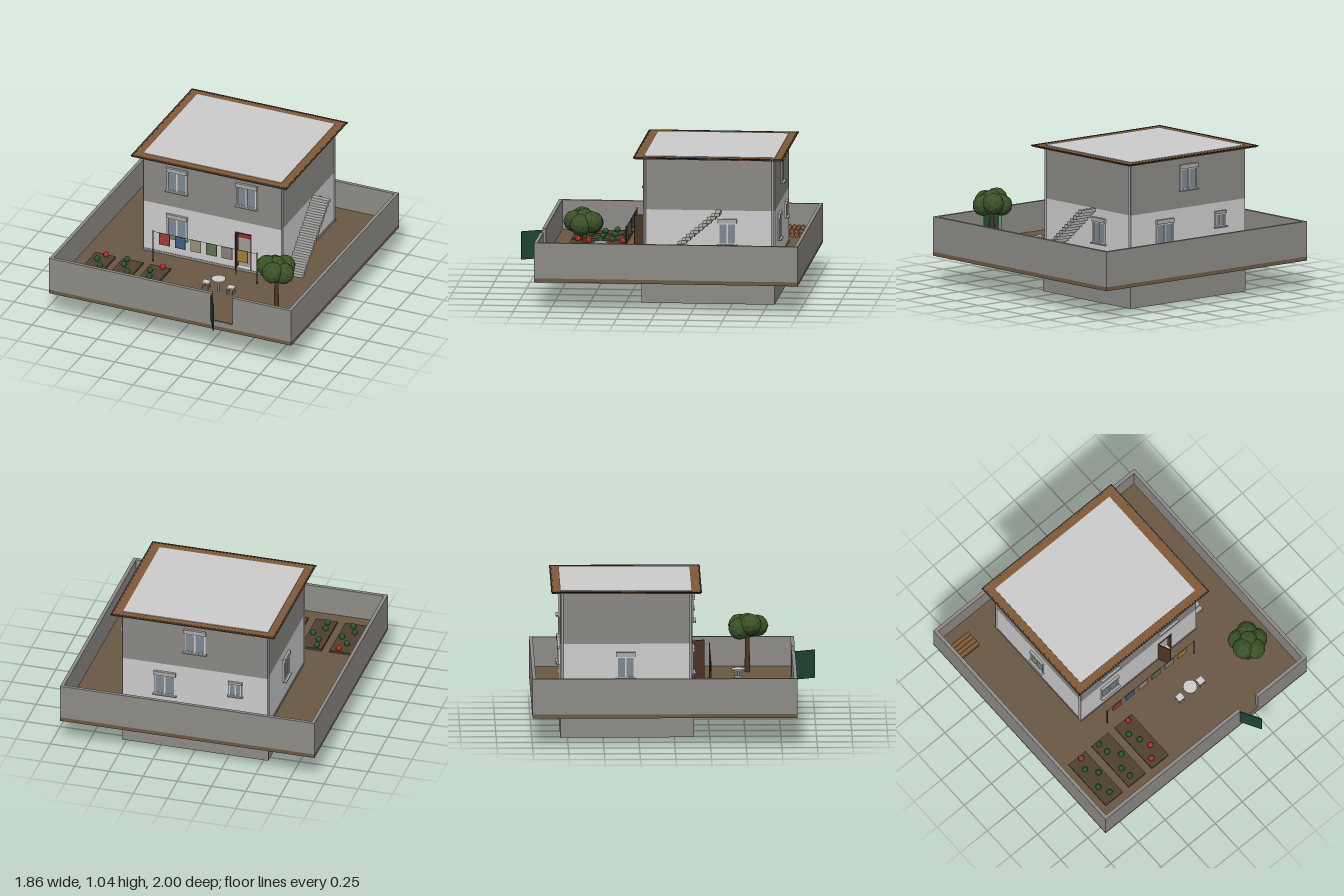
import * as THREE from 'three';

const mat = (color, extra = {}) => new THREE.MeshStandardMaterial({ color, ...extra });
const M = {
  wall: mat(0x8d8b86), light: mat(0xcccccc), upper: mat(0x8a8883), soil: mat(0x6b5845),
  bed: mat(0x4f4030), wood: mat(0x805a38), darkWood: mat(0x4d3426), gutter: mat(0x35383d, { side: THREE.DoubleSide }),
  gate: mat(0x1d4633), glass: mat(0x7c8891), trim: mat(0xa9a9a6), metal: mat(0x303030),
  leaf: mat(0x3a5228, { flatShading: true }), plant: mat(0x23582b), fruit: mat(0xb02a26),
};

const GROUND = 0.27;

export function createModel() {
  const root = new THREE.Group();

  const add = (name, geo, material, x = 0, y = 0, z = 0, parent = root) => {
    const mesh = new THREE.Mesh(geo, material);
    mesh.name = name;
    mesh.position.set(x, y, z);
    parent.add(mesh);
    return mesh;
  };
  // Box given by its limits on each axis
  const box = (name, material, x0, x1, y0, y1, z0, z1, parent = root) =>
    add(name, new THREE.BoxGeometry(x1 - x0, y1 - y0, z1 - z0), material,
      (x0 + x1) / 2, (y0 + y1) / 2, (z0 + z1) / 2, parent);
  const group = (name, x = 0, y = 0, z = 0, ry = 0) => {
    const g = new THREE.Group();
    g.name = name;
    g.position.set(x, y, z);
    g.rotation.y = ry;
    root.add(g);
    return g;
  };

  // Plot of ground and basement
  box('basement', M.wall, -0.535, 0.535, 0, 0.2, -0.8, 0.14);
  box('groundBase', M.soil, -0.93, 0.93, 0.2, 0.228, -1, 0.86);
  box('ground', M.soil, -0.91, 0.91, 0.228, GROUND, -0.98, 0.84);
  box('gateThreshold', M.soil, 0.32, 0.48, 0.262, 0.272, 0.83, 0.859);

  // Boundary walls, with an opening for the gate
  const T = 0.025;
  for (const s of [-1, 1]) {
    const x = s * (0.93 - T / 2);
    box('sideBoundaryWall', M.wall, x - T / 2, x + T / 2, 0.228, 0.48, -1, 0.86);
  }
  box('backBoundaryWall', M.wall, -0.905, 0.905, 0.228, 0.48, -1, -1 + T);
  box('frontBoundaryWallLong', M.wall, -0.905, 0.32, 0.228, 0.48, 0.86 - T, 0.86);
  box('frontBoundaryWallShort', M.wall, 0.48, 0.905, 0.228, 0.48, 0.86 - T, 0.86);
  box('wallBelowGate', M.wall, 0.32, 0.48, 0.228, 0.264, 0.86 - T, 0.86);

  // Open gate
  const gate = group('gate', 0.315, 0, 0.86, -Math.atan2(0.14, 0.08));
  box('gateLeaf', M.gate, 0, 0.161, GROUND, 0.47, -0.004, 0.004, gate);

  // Ground floor: hollow, with a doorway in the front wall
  const front = new THREE.Shape([[-0.53, 0.26], [0.53, 0.26], [0.53, 0.665], [-0.53, 0.665]]
    .map(p => new THREE.Vector2(...p)));
  front.holes.push(new THREE.Path([[0.185, 0.29], [0.185, 0.57], [0.295, 0.57], [0.295, 0.29]]
    .map(p => new THREE.Vector2(...p))));
  add('groundFloorFrontWall', new THREE.ExtrudeGeometry(front, { depth: 0.03, bevelEnabled: false }), M.light, 0, 0, 0.1);
  box('groundFloorBackWall', M.light, -0.53, 0.53, 0.26, 0.665, -0.8, -0.77);
  box('groundFloorSideWall', M.light, -0.53, -0.5, 0.26, 0.665, -0.77, 0.1);
  box('groundFloorSideWall', M.light, 0.5, 0.53, 0.26, 0.665, -0.77, 0.1);
  box('floor', M.trim, -0.5, 0.5, 0.26, 0.288, -0.77, 0.1);
  box('plinth', M.wall, -0.533, 0.533, 0.26, 0.288, -0.803, 0.133);
  box('sofa', M.fruit, 0.0, 0.25, 0.288, 0.36, -0.4, -0.28);

  // Upper floor and corner downpipes
  box('upperFloor', M.upper, -0.53, 0.53, 0.665, 1.035, -0.8, 0.13);
  for (const x of [-0.532, 0.532]) for (const z of [-0.785, 0.115])
    add('downpipe', new THREE.CylinderGeometry(0.007, 0.007, 0.765, 8), M.light, x, 0.652, z);

  // Flat roof with wooden eaves and a gutter all round
  box('eaves', M.wood, -0.592, 0.592, 1.03, 1.041, -0.857, 0.187);
  box('roofDeck', M.light, -0.532, 0.527, 1.035, 1.045, -0.8, 0.125);
  const gutter = (len, x, z, ry) => {
    const g = new THREE.CylinderGeometry(0.007, 0.007, len, 8, 1, true, -Math.PI / 2, Math.PI);
    g.rotateX(Math.PI / 2).rotateY(ry);
    add('gutter', g, M.gutter, x, 1.043, z);
  };
  for (const s of [-1, 1]) {
    gutter(1.058, s * 0.593, -0.335, 0);
    gutter(1.2, 0, -0.335 + s * 0.522, Math.PI / 2);
  }

  // Windows: shutter box, frame, two panes and a sill; top is the upper edge
  const windowUnit = (x, top, z, ry, w = 0.155, h = 0.19) => {
    const g = group('window', x, top, z, ry);
    const a = w / 2, head = h * 0.16;
    box('shutterBox', M.trim, -a - 0.003, a + 0.003, -head, 0, -0.005, 0.018, g);
    box('windowSill', M.trim, -a - 0.008, a + 0.008, -h, -h + 0.008, -0.005, 0.025, g);
    box('glass', M.glass, -a + 0.004, a - 0.004, -h + 0.008, -head, -0.005, 0.004, g);
    for (const px of [-a + 0.005, 0, a - 0.005])
      box('windowPost', M.light, px - 0.005, px + 0.005, -h + 0.008, -head, -0.005, 0.009, g);
    for (const py of [-h + 0.012, -head - 0.004])
      box('windowRail', M.light, -a, a, py - 0.004, py + 0.004, -0.005, 0.008, g);
  };
  windowUnit(-0.27, 0.975, 0.13, 0);
  windowUnit(0.265, 0.975, 0.13, 0);
  windowUnit(-0.27, 0.605, 0.13, 0);
  windowUnit(0, 0.975, -0.8, Math.PI);
  windowUnit(0.22, 0.605, -0.8, Math.PI);
  windowUnit(-0.295, 0.605, -0.8, Math.PI, 0.095, 0.12);
  windowUnit(0.53, 0.605, -0.465, Math.PI / 2, 0.13);
  windowUnit(-0.53, 0.605, -0.34, -Math.PI / 2, 0.13);

  // Front door frame and the leaf swung outwards
  for (const x of [0.182, 0.298]) box('doorPost', M.darkWood, x - 0.004, x + 0.004, 0.288, 0.574, 0.1, 0.135);
  box('doorLintel', M.darkWood, 0.178, 0.302, 0.567, 0.574, 0.1, 0.135);
  const door = group('frontDoor', 0.18, 0, 0.132, -Math.atan2(0.088, 0.042));
  box('doorLeaf', M.darkWood, 0, 0.098, 0.288, 0.57, -0.004, 0.004, door);

  // Outside staircase of separate treads rising towards the back
  const STEPS = 16;
  for (let i = 0; i < STEPS; i++) {
    const z = 0.035 - i * 0.0293, y = 0.282 + i * 0.0248;
    box('stairTread', M.trim, 0.53, 0.66, y - 0.012, y + 0.012, z - 0.018, z + 0.018);
  }

  // Clothesline
  for (const x of [-0.4, 0.4])
    add('clotheslinePole', new THREE.CylinderGeometry(0.004, 0.004, 0.25, 8), M.metal, x, 0.395, 0.26);
  box('clothesline', M.metal, -0.4, 0.4, 0.511, 0.513, 0.259, 0.261);
  [0x9c3c3a, 0x3f5d86, 0x9a8e7c, 0x5d7350, 0x85807e, 0xa47a3a].forEach((color, i) => {
    const x = -0.31 + i * 0.12;
    box('laundry', mat(color), x - 0.04, x + 0.04, 0.42, 0.512, 0.257, 0.263);
  });

  // Vegetable beds with round plants: [x offset, z, is red]
  const beds = [
    [-0.735, [[0.017, 0.35, 1], [-0.018, 0.43], [0.04, 0.51], [-0.03, 0.59], [0.003, 0.67]]],
    [-0.522, [[-0.035, 0.35], [-0.025, 0.43], [0.037, 0.51], [-0.03, 0.59], [-0.022, 0.67]]],
    [-0.31, [[0.027, 0.35, 1], [-0.037, 0.43], [-0.005, 0.51], [0.027, 0.59, 1], [-0.033, 0.67, 1]]],
  ];
  for (const [x, plants] of beds) {
    box('vegetableBed', M.bed, x - 0.078, x + 0.078, GROUND, 0.285, 0.325, 0.725);
    for (const [dx, z, red] of plants)
      add('plant', new THREE.SphereGeometry(0.021, 12, 8), red ? M.fruit : M.plant, x + dx, 0.3, z);
  }

  // Round garden table with two stools
  add('tableTop', new THREE.CylinderGeometry(0.05, 0.05, 0.01, 24), M.light, 0.195, 0.365, 0.46);
  add('tableLeg', new THREE.CylinderGeometry(0.008, 0.008, 0.09, 8), M.trim, 0.195, 0.315, 0.46);
  for (const x of [0.1, 0.29]) {
    box('stoolSeat', M.light, x - 0.026, x + 0.026, 0.315, 0.325, 0.434, 0.486);
    for (const sx of [-1, 1]) for (const sz of [-1, 1])
      add('stoolLeg', new THREE.CylinderGeometry(0.004, 0.004, 0.046, 6), M.trim, x + sx * 0.02, 0.292, 0.46 + sz * 0.02);
  }

  // Tree with a faceted crown
  add('treeTrunk', new THREE.CylinderGeometry(0.014, 0.02, 0.28, 8), M.darkWood, 0.67, 0.41, 0.53);
  for (let i = 0; i < 5; i++) {
    const a = 0.3 + i * Math.PI * 0.4;
    const blob = add('treeCrown', new THREE.IcosahedronGeometry(0.078, 1), M.leaf,
      0.67 + Math.cos(a) * 0.065, 0.58 + (i % 3) * 0.017, 0.53 + Math.sin(a) * 0.07);
    blob.rotation.y = a;
  }
  add('treeCrown', new THREE.IcosahedronGeometry(0.078, 1), M.leaf, 0.67, 0.61, 0.53);

  // Stacked logs in the back corner
  for (let row = 0; row < 2; row++) for (let i = 0; i < 4; i++) {
    const log = add('log', new THREE.CylinderGeometry(0.0155, 0.0155, 0.18, 10), M.wood,
      -0.8, 0.286 + row * 0.03, -0.867 + i * 0.031);
    log.rotation.z = Math.PI / 2;
  }

  return root;
}
